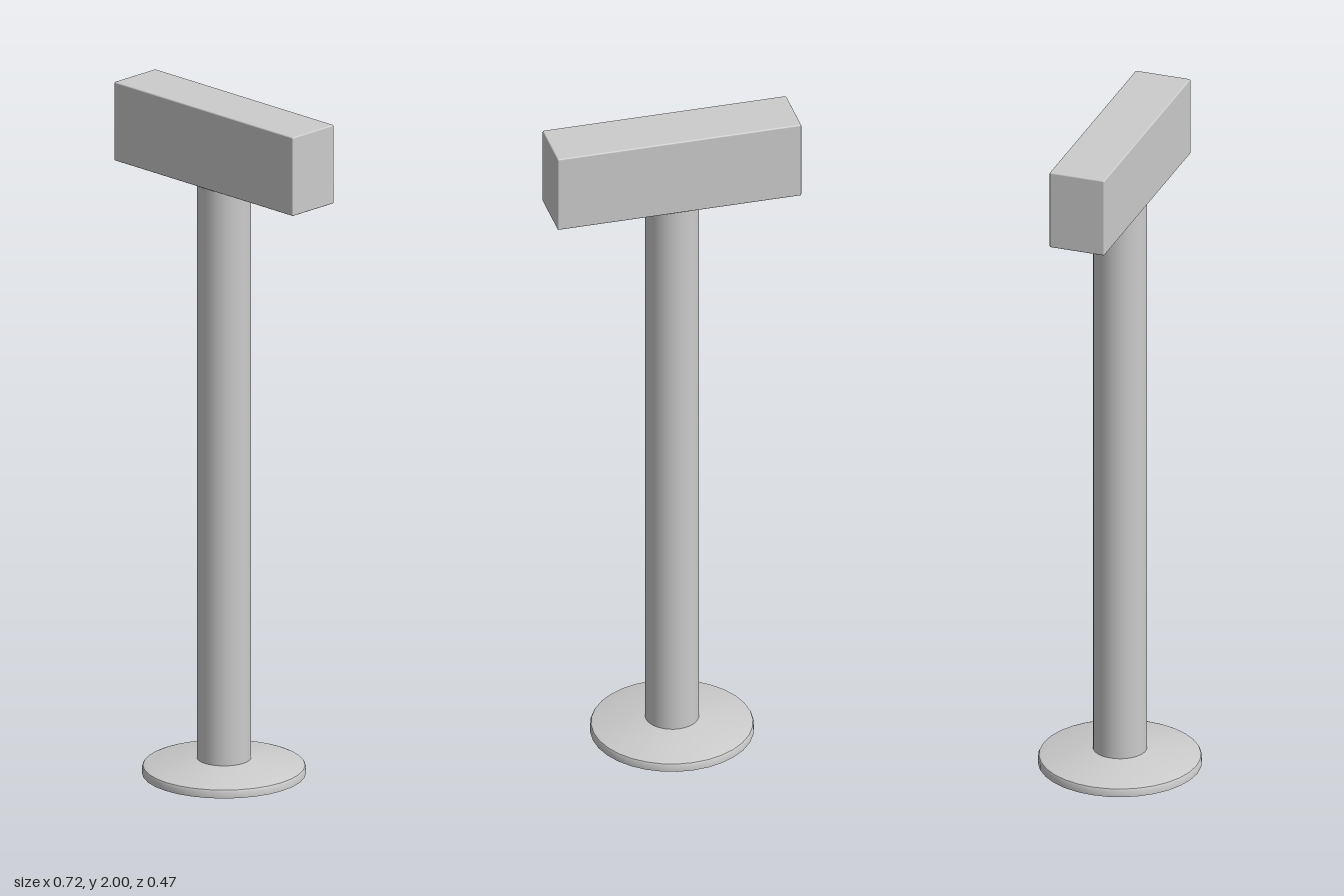
import * as THREE from 'three';
import { RoundedBoxGeometry } from 'three/addons/geometries/RoundedBoxGeometry.js';
import { toCreasedNormals } from 'three/addons/utils/BufferGeometryUtils.js';

const SIDES = 32;
const POLE_RADIUS = 0.077;
const HEAD_BOTTOM = 1.765;

export function createModel() {
  const group = new THREE.Group();
  const solid = new THREE.MeshStandardMaterial({ color: 0xcccccc });
  const open = new THREE.MeshStandardMaterial({ color: 0xcccccc, side: THREE.DoubleSide });

  const add = (name, geometry, material, y = 0) => {
    const mesh = new THREE.Mesh(geometry, material);
    mesh.name = name;
    mesh.position.y = y;
    group.add(mesh);
  };

  // Shallow conical foot with a rounded rim and a hole for the pole
  const profile = [
    [POLE_RADIUS, 0], [0.233, 0], [0.233, 0.018], [0.23, 0.024], [0.222, 0.027],
    [0.09, 0.044], [POLE_RADIUS, 0.046],
  ].map(([r, y]) => new THREE.Vector2(r, y));
  add('base', toCreasedNormals(new THREE.LatheGeometry(profile, SIDES), 0.7), open);

  // Hollow pole, open at the foot
  add('pole', new THREE.CylinderGeometry(POLE_RADIUS, POLE_RADIUS, HEAD_BOTTOM, SIDES, 1, true),
    open, HEAD_BOTTOM / 2);

  // Crossbar block with slightly softened edges
  const headHeight = 2 - HEAD_BOTTOM;
  add('head', new RoundedBoxGeometry(0.717, headHeight, 0.166, 2, 0.004),
    solid, HEAD_BOTTOM + headHeight / 2);

  return group;
}
